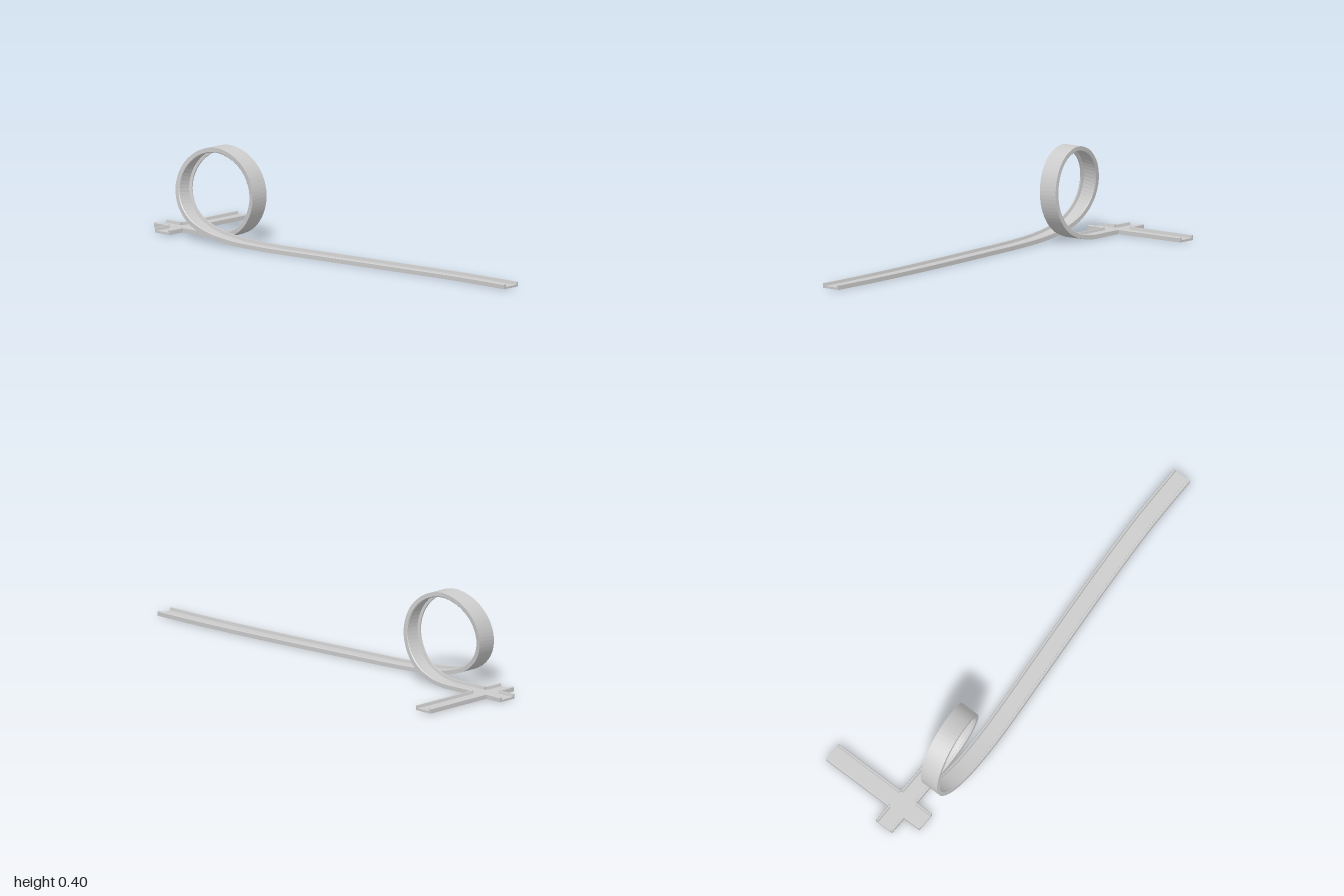
import * as THREE from 'three';

const HALF = 0.043, HEIGHT = 0.021, FLOOR = 0.009, LIP = 0.009, CHAMFER = 0.003;

// U-shaped channel, counter-clockwise: [sideways, up]
const CHANNEL = [
  [-HALF, 0], [HALF, 0], [HALF, HEIGHT - CHAMFER], [HALF - CHAMFER, HEIGHT],
  [HALF - LIP, HEIGHT], [HALF - LIP - 0.003, FLOOR],
  [-HALF + LIP + 0.003, FLOOR], [-HALF + LIP, HEIGHT],
  [-HALF + CHAMFER, HEIGHT], [-HALF, HEIGHT - CHAMFER],
];

const material = new THREE.MeshStandardMaterial({ color: 0xcccccc, flatShading: true });

// Sweeps the channel along points; up(tangent) gives the side the lips point to
function sweepChannel(name, points, up) {
  const rings = points.map((p, i) => {
    const t = points[Math.min(i + 1, points.length - 1)].clone()
      .sub(points[Math.max(i - 1, 0)]).normalize();
    const n = up(t).normalize();
    const side = t.clone().cross(n).normalize();
    return CHANNEL.map(([s, h]) => p.clone().addScaledVector(side, s).addScaledVector(n, h));
  });
  const pos = [];
  const tri = (...v) => v.forEach((p) => pos.push(p.x, p.y, p.z));
  for (let k = 0; k < rings.length - 1; k++) {
    const a = rings[k], b = rings[k + 1];
    for (let i = 0; i < CHANNEL.length; i++) {
      const j = (i + 1) % CHANNEL.length;
      tri(a[i], b[i], b[j]);
      tri(a[i], b[j], a[j]);
    }
  }
  // end caps
  const first = rings[0], last = rings[rings.length - 1];
  const faces = THREE.ShapeUtils.triangulateShape(CHANNEL.map(([x, y]) => new THREE.Vector2(x, y)), []);
  for (const [a, b, c] of faces) {
    tri(first[a], first[b], first[c]);
    tri(last[a], last[c], last[b]);
  }
  const geometry = new THREE.BufferGeometry();
  geometry.setAttribute('position', new THREE.Float32BufferAttribute(pos, 3));
  geometry.computeVertexNormals();
  const mesh = new THREE.Mesh(geometry, material);
  mesh.name = name;
  return mesh;
}

const vec = (x, y, z) => new THREE.Vector3(x, y, z);
const straight = (name, from, to) => sweepChannel(name, [from, to], () => vec(0, 1, 0));

export function createModel() {
  const model = new THREE.Group();
  model.name = 'loopTrack';

  // Four-way crossing: flat centre plate with a short arm on each side
  const cx = -0.877, cz = 0.115, y = 0.004, reach = 0.124;
  const crossing = new THREE.Group();
  crossing.name = 'crossing';
  const plate = new THREE.Mesh(new THREE.BoxGeometry(2 * HALF, FLOOR, 2 * HALF), material);
  plate.name = 'crossingPlate';
  plate.position.set(cx, y + FLOOR / 2, cz);
  crossing.add(plate);
  const arms = { leftArm: [1, 0], rightArm: [-1, 0], frontArm: [0, 1], backArm: [0, -1] };
  for (const [name, [dx, dz]] of Object.entries(arms)) {
    crossing.add(straight(name,
      vec(cx + dx * HALF, y, cz + dz * HALF),
      vec(cx + dx * reach, y, cz + dz * reach)));
  }
  model.add(crossing);

  // Straight piece running to the back
  model.add(straight('sideTrack', vec(cx, y, cz - reach), vec(cx, y, -0.262)));

  // Loop and long run-out, following the underside of the track
  const path = [
    [cx + reach, y, cz], [-0.66, y, 0.115], [-0.575, 0.02, 0.116], [-0.5, 0.06, 0.117],
    [-0.448, 0.13, 0.119], [-0.43, 0.215, 0.122], [-0.455, 0.305, 0.13], [-0.52, 0.372, 0.142],
    [-0.615, 0.4, 0.155], [-0.71, 0.372, 0.169], [-0.777, 0.305, 0.184], [-0.8, 0.22, 0.197],
    [-0.778, 0.14, 0.207], [-0.715, 0.075, 0.214], [-0.62, 0.035, 0.216], [-0.5, 0.014, 0.213],
    [-0.35, 0.005, 0.204], [0, 0.003, 0.173], [0.4, 0.003, 0.138], [0.7, 0.004, 0.118],
    [0.85, 0.004, 0.114], [1, 0.004, 0.113],
  ].map((p) => vec(...p));
  const curve = new THREE.CatmullRomCurve3(path);
  const up = (t) => vec(-t.y, t.x, 0);
  model.add(sweepChannel('loopAndRunOut', curve.getPoints((path.length - 1) * 5), up));

  return model;
}
